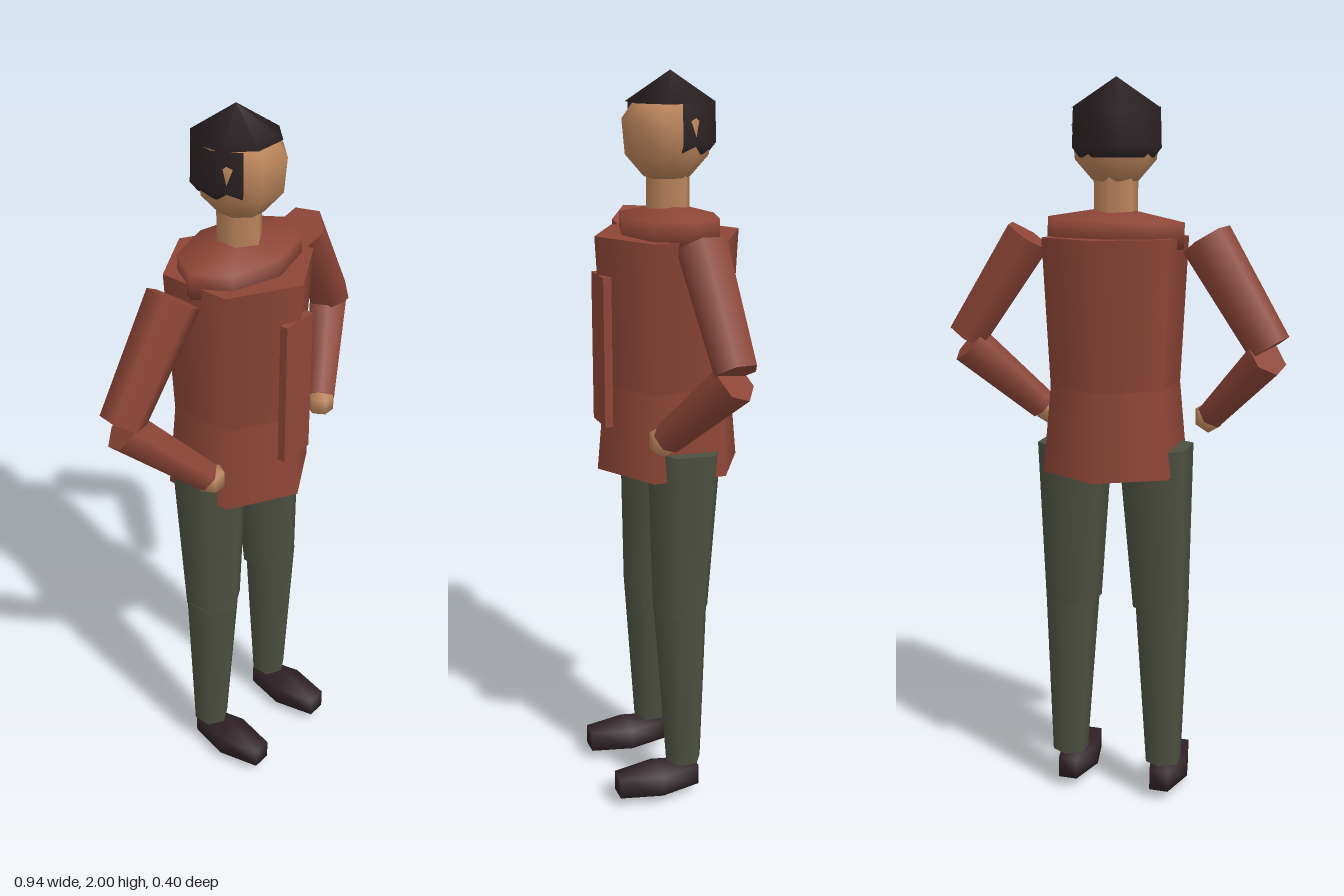
import * as THREE from 'three';

const mat = (name, color, side = THREE.FrontSide) => {
  const m = new THREE.MeshStandardMaterial({ color, side });
  m.name = name;
  return m;
};

export function createModel() {
  const red = mat('rust jacket', 0x8d4537);
  const olive = mat('olive trousers', 0x4d513f);
  const skin = mat('skin', 0xbb845a);
  const hair = mat('dark hair', 0x2c2224, THREE.DoubleSide);
  const leather = mat('dark leather', 0x2f2226);
  const model = new THREE.Group();
  model.name = 'standingFigure';

  const add = (name, geometry, material, parent = model) => {
    const mesh = new THREE.Mesh(geometry, material);
    mesh.name = name;
    parent.add(mesh);
    return mesh;
  };

  // Six-sided tapered limb from point a to point b
  const limb = (name, a, b, ra, rb, material) => {
    const from = new THREE.Vector3(...a), to = new THREE.Vector3(...b);
    const dir = to.clone().sub(from);
    const mesh = add(name, new THREE.CylinderGeometry(rb, ra, dir.length(), 6), material);
    mesh.position.copy(from).add(to).multiplyScalar(0.5);
    mesh.quaternion.setFromUnitVectors(new THREE.Vector3(0, 1, 0), dir.normalize());
    return mesh;
  };

  // Coarse squashed sphere
  const blob = (name, pos, size, segments, material) => {
    const mesh = add(name, new THREE.SphereGeometry(1, segments, 3), material);
    mesh.position.set(...pos);
    mesh.scale.set(...size);
    return mesh;
  };

  const lathe = (points, ...args) =>
    new THREE.LatheGeometry(points.map(p => new THREE.Vector2(...p)), ...args);

  // Jacket
  limb('jacketBody', [0, 1.195, 0], [0, 1.59, 0], 0.18, 0.201, red);
  limb('jacketSkirt', [0, 0.96, 0], [0, 1.195, 0], 0.202, 0.18, red);
  blob('shoulderYoke', [0.003, 1.6, 0], [0.22, 0.07, 0.148], 8, red).rotation.z = 0.03;
  add('placket', new THREE.BoxGeometry(0.104, 0.4, 0.022), red).position.set(0, 1.29, 0.184);
  limb('neck', [0, 1.62, 0], [0, 1.75, 0], 0.06, 0.06, skin);

  // Head, turned towards its left
  const head = new THREE.Group();
  head.name = 'head';
  head.rotation.y = 0.38;
  model.add(head);
  add('face', lathe([[0, 1.718], [0.06, 1.735], [0.108, 1.79], [0.116, 1.88], [0.08, 1.93], [0, 1.95]], 8),
    skin, head).position.z = 0.004;
  add('hairCap', lathe([[0, 1.912], [0.116, 1.922], [0, 2]], 8), hair, head).position.z = -0.008;
  add('hairBack', lathe([[0.1, 1.795], [0.12, 1.82], [0.117, 1.923]], 6, 1.13, 4.02), hair, head)
    .position.z = -0.006;

  for (const s of [1, -1]) {
    const side = s > 0 ? 'left' : 'right';

    // Arms, hands resting on the hips
    limb(side + 'UpperArm', [s * 0.247, 1.588, 0], [s * 0.425, 1.312, -0.02], 0.07, 0.058, red);
    limb(side + 'Forearm', [s * 0.42, 1.29, -0.022], [s * 0.245, 1.105, 0.092], 0.058, 0.042, red);
    blob(side + 'Hand', [s * 0.235, 1.097, 0.098], [0.042, 0.044, 0.042], 6, skin);

    // Legs and shoes
    limb(side + 'Thigh', [s * 0.128, 0.575, 0.01], [s * 0.116, 1.03, -0.005], 0.08, 0.105, olive);
    limb(side + 'Shin', [s * 0.14, 0.11, 0.005], [s * 0.132, 0.58, 0.012], 0.051, 0.077, olive);
    blob(side + 'Shoe', [s * 0.137, 0.06, 0.083], [0.062, 0.058, 0.156], 6, leather);
  }
  return model;
}
